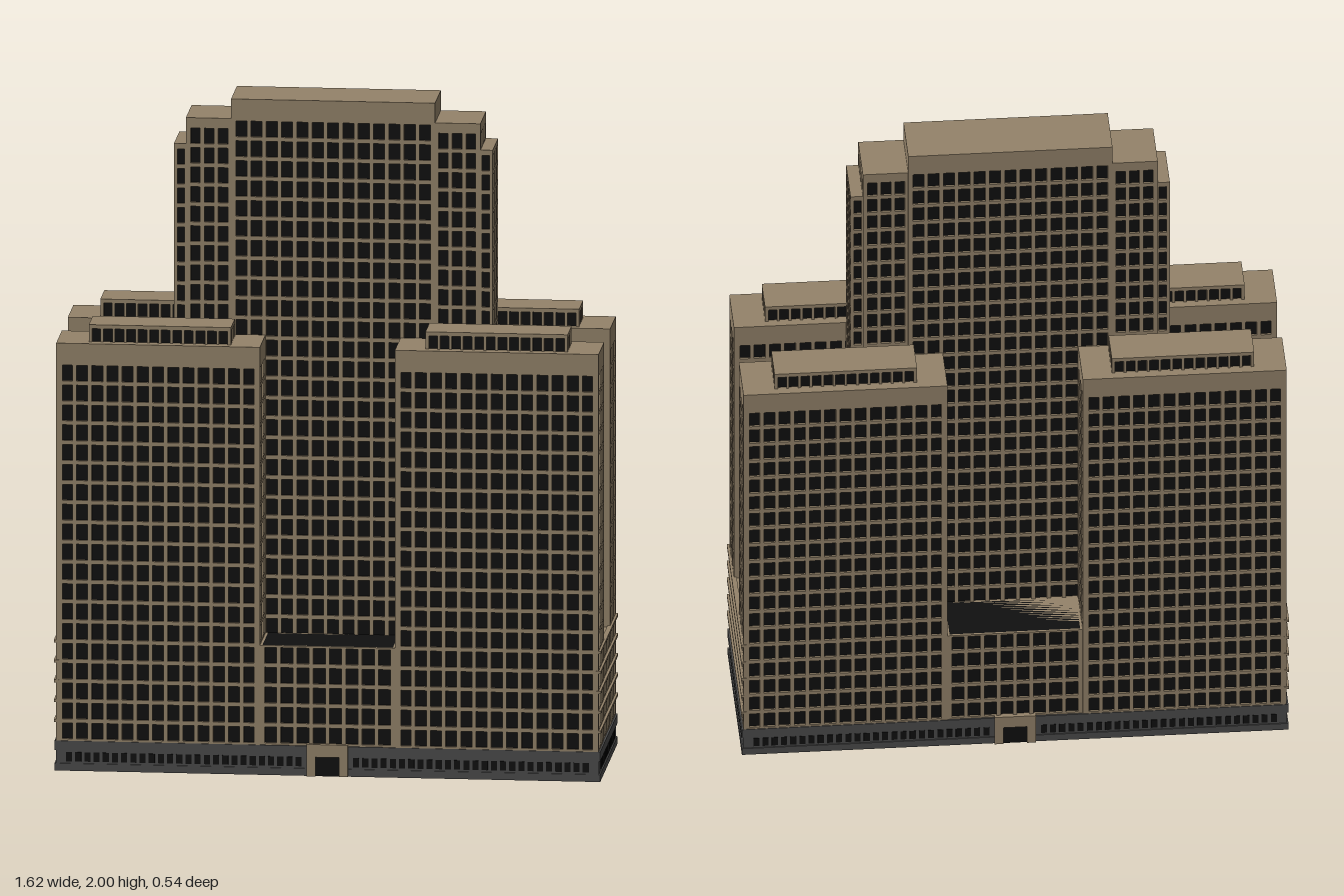
import * as THREE from 'three';
import { mergeGeometries } from 'three/addons/utils/BufferGeometryUtils.js';

const stone = new THREE.MeshStandardMaterial({ color: 0x94836a });
const glass = new THREE.MeshStandardMaterial({ color: 0x101010 });
const granite = new THREE.MeshStandardMaterial({ color: 0x4c4c4c });

// Box geometry between two corners
function span(x0, x1, y0, y1, z0, z1) {
  return new THREE.BoxGeometry(x1 - x0, y1 - y0, z1 - z0)
    .translate((x0 + x1) / 2, (y0 + y1) / 2, (z0 + z1) / 2);
}

function part(name, geometries, material) {
  const mesh = new THREE.Mesh(mergeGeometries(geometries), material);
  mesh.name = name;
  return mesh;
}

// Glazed block wrapped in a grid of piers and floor bands, with a solid cap
function block(name, [x0, x1], [y0, y1], [z0, z1], { nx, nz, floors, cap = 0, bar = 0.012, pier = 0.012, corner = 0.014 }) {
  const inset = 0.007;
  const top = y1 - cap;
  const frame = [];
  const addPiers = (a, b, n, put) => {
    for (let i = 0; i <= n; i++) {
      const w = (i === 0 || i === n) ? corner : pier;
      const c = a + corner / 2 + (b - a - corner) * i / n;
      put(c - w / 2, c + w / 2);
    }
  };
  addPiers(x0, x1, nx, (a, b) => frame.push(
    span(a, b, y0, top, z0, z0 + inset), span(a, b, y0, top, z1 - inset, z1)));
  addPiers(z0, z1, nz, (a, b) => frame.push(
    span(x0, x0 + inset, y0, top, a, b), span(x1 - inset, x1, y0, top, a, b)));
  for (let i = 0; i <= floors; i++) {
    const y = y0 + (top - y0) * i / floors;
    frame.push(span(x0, x1, Math.max(y - bar / 2, y0), Math.min(y + bar / 2, top), z0, z1));
  }
  if (cap) frame.push(span(x0, x1, top, y1, z0, z1));
  const group = new THREE.Group();
  group.name = name;
  group.add(
    part('frame', frame, stone),
    part('windows', [span(x0 + inset, x1 - inset, y0, top, z0 + inset, z1 - inset)], glass));
  return group;
}

// Interval mirrored to the chosen side
const flip = (s, a, b) => s > 0 ? [a, b] : [-b, -a];

export function createModel() {
  const model = new THREE.Group();
  model.name = 'officeTower';
  const building = new THREE.Group();
  building.name = 'building';
  building.position.set(-0.004, 0, -0.002);
  model.add(building);

  // Dark plinth with a projecting ledge
  building.add(part('plinth', [
    span(-0.804, 0.804, 0, 0.09, -0.259, 0.259),
    span(-0.808, 0.808, 0.062, 0.09, -0.262, 0.262),
    span(-0.808, 0.808, 0, 0.022, -0.262, 0.262),
  ], granite));

  // Small plinth windows on all four sides
  const slots = [];
  for (const s of [-1, 1]) {
    for (const side of [-1, 1]) {
      for (let i = 0; i < 26; i++) {
        const x = side * (0.085 + i * 0.0272);
        slots.push(span(x - 0.009, x + 0.009, 0.028, 0.056, ...flip(s, 0.25, 0.2605)));
      }
    }
    for (let i = 0; i < 16; i++) {
      const z = (i - 7.5) * 0.0272;
      slots.push(span(...flip(s, 0.79, 0.8055), 0.028, 0.056, z - 0.009, z + 0.009));
    }
  }
  building.add(part('plinthWindows', slots, glass));

  // Entrances, front and back
  for (const s of [-1, 1]) {
    const z = flip(s, 0.24, 0.268);
    building.add(part('entranceSurround', [
      span(-0.061, -0.035, 0, 0.096, ...z),
      span(0.035, 0.061, 0, 0.096, ...z),
      span(-0.035, 0.035, 0.058, 0.096, ...z),
    ], stone));
    building.add(part('entranceDoor', [span(-0.035, 0.035, 0, 0.058, ...flip(s, 0.24, 0.2635))], glass));
  }

  // Low links between the corner towers
  building.add(block('frontLink', [-0.2, 0.2], [0.09, 0.39], [-0.257, 0.257], { nx: 8, nz: 10, floors: 5 }));
  building.add(block('sideLink', [-0.802, 0.802], [0.09, 0.39], [-0.09, 0.09], { nx: 32, nz: 4, floors: 5 }));

  // Projecting floor bands on the lower ends
  const bands = [];
  for (const s of [-1, 1])
    for (let i = 1; i <= 5; i++)
      bands.push(span(...flip(s, 0.795, 0.81), 0.086 + i * 0.06, 0.094 + i * 0.06, -0.262, 0.262));
  building.add(part('endBands', bands, stone));

  // Four corner towers with penthouses
  for (const sx of [-1, 1]) {
    for (const sz of [-1, 1]) {
      building.add(block('cornerTower', flip(sx, 0.2, 0.803), [0.09, 1.29], flip(sz, 0.09, 0.26),
        { nx: 13, nz: 3, floors: 19, cap: 0.06, corner: 0.018 }));
      building.add(block('penthouse', flip(sx, 0.288, 0.709), [1.285, 1.342], flip(sz, 0.114, 0.234),
        { nx: 12, nz: 4, floors: 1, cap: 0.008, bar: 0.008, pier: 0.008, corner: 0.01 }));
    }
  }

  // Central slab stepping down at both ends
  building.add(block('centralSlab', [-0.302, 0.302], [0.38, 2], [-0.088, 0.088],
    { nx: 13, nz: 4, floors: 26, cap: 0.06 }));
  for (const s of [-1, 1]) {
    building.add(block('upperShoulder', flip(s, 0.298, 0.436), [0.38, 1.94], [-0.085, 0.085],
      { nx: 3, nz: 4, floors: 26, cap: 0.025 }));
    building.add(block('lowerShoulder', flip(s, 0.43, 0.472), [0.38, 1.86], [-0.081, 0.081],
      { nx: 1, nz: 4, floors: 25, cap: 0.01, corner: 0.01 }));
  }
  return model;
}
